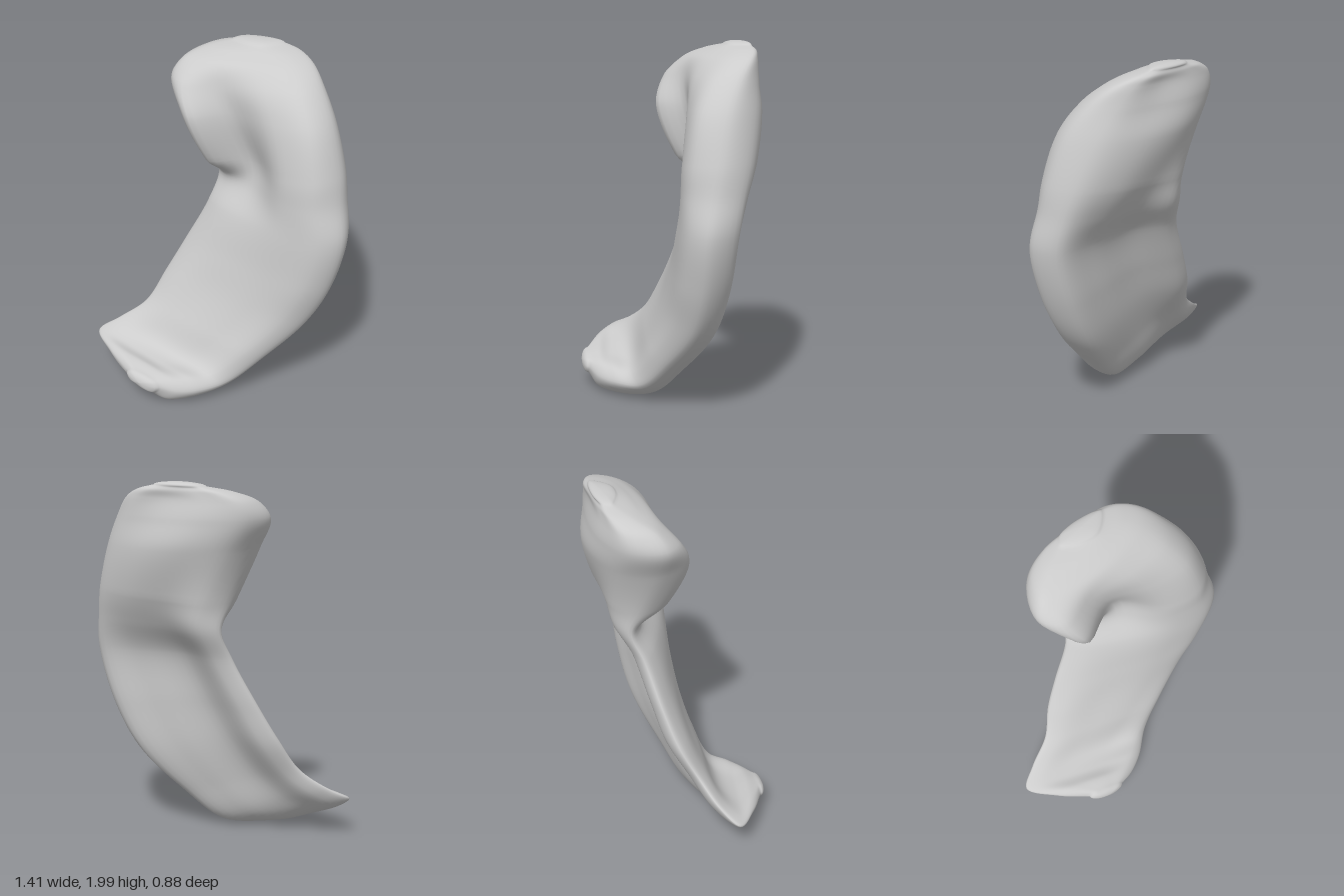
import * as THREE from 'three';

// Rails from tail to head: outer edge x,y,z then inner edge x,y,z
const RAILS = [
  [-0.2, 0.14, 0.42, -0.41, 0.18, 0.385],
  [-0.1, 0.11, 0.385, -0.57, 0.22, 0.28],
  [0.0, 0.1, 0.32, -0.7, 0.245, 0.15],
  [0.12, 0.11, 0.2, -0.6, 0.31, 0.07],
  [0.3, 0.27, 0.1, -0.46, 0.42, 0.0],
  [0.51, 0.5, 0.01, -0.37, 0.6, -0.09],
  [0.64, 0.75, -0.01, -0.27, 0.8, -0.15],
  [0.71, 1.05, -0.01, -0.15, 1.05, -0.21],
  [0.68, 1.25, -0.05, -0.11, 1.22, -0.27],
  [0.66, 1.41, -0.09, -0.15, 1.36, -0.22],
  [0.59, 1.65, -0.15, -0.26, 1.63, -0.15],
  [0.5, 1.81, -0.23, -0.335, 1.8, -0.14],
  [0.41, 1.91, -0.31, -0.29, 1.89, -0.18],
  [0.32, 1.955, -0.36, -0.19, 1.945, -0.27],
  [0.22, 1.98, -0.38, -0.06, 1.975, -0.34],
];
// Heights off the chord at each station: front four, then back four (outer to inner)
const STATIONS = [0.1, 0.35, 0.65, 0.9];
const PROFILES = [
  [0.03, 0.04, 0.04, 0.03, -0.04, -0.05, -0.04, -0.03],
  [0.05, 0.06, 0.05, 0.03, -0.08, -0.09, -0.07, -0.04],
  [0.06, 0.05, 0.04, 0.03, -0.1, -0.12, -0.08, -0.04],
  [0.06, 0.05, 0.04, 0.03, -0.12, -0.11, -0.05, -0.04],
  [0.08, 0.09, 0.07, 0.04, -0.12, -0.09, -0.03, -0.04],
  [0.1, 0.13, 0.1, 0.06, -0.13, -0.08, -0.01, -0.05],
  [0.11, 0.14, 0.11, 0.06, -0.14, -0.09, -0.01, -0.05],
  [0.11, 0.15, 0.11, 0.06, -0.15, -0.11, -0.03, -0.06],
  [0.14, 0.175, 0.07, 0.05, -0.15, -0.16, -0.1, -0.09],
  [0.15, 0.17, 0.03, 0.15, -0.16, -0.22, -0.19, -0.14],
  [0.14, 0.14, 0.06, 0.18, -0.17, -0.27, -0.28, -0.19],
  [0.12, 0.13, 0.08, 0.11, -0.14, -0.22, -0.25, -0.18],
  [0.09, 0.12, 0.1, 0.06, -0.09, -0.14, -0.18, -0.15],
  [0.07, 0.1, 0.09, 0.05, -0.05, -0.08, -0.1, -0.09],
  [0.04, 0.08, 0.07, 0.03, -0.02, -0.04, -0.05, -0.04],
];
const AROUND = 56, ALONG = 112, CAP = 6;

const rail = (k) => new THREE.CatmullRomCurve3(RAILS.map((r) => new THREE.Vector3(r[k], r[k + 1], r[k + 2])));
const outer = rail(0), inner = rail(3);
const heights = PROFILES[0].map((_, k) => new THREE.SplineCurve(PROFILES.map((p, i) => new THREE.Vector2(i, p[k]))));
const middle = (u) => outer.getPoint(u).lerp(inner.getPoint(u), 0.5);

// One closed cross-section of the curled body
function section(u) {
  const O = outer.getPoint(u), I = inner.getPoint(u);
  const tangent = middle(Math.min(u + 0.06, 1)).sub(middle(Math.max(u - 0.06, 0))).normalize();
  const front = tangent.clone().cross(I.clone().sub(O)).normalize();
  // sections lie level through the head and tilt with the tail
  front.y *= 1 - THREE.MathUtils.smoothstep(middle(u).y, 0.6, 1.2);
  front.normalize();
  const at = (k, side) => O.clone().lerp(I, STATIONS[k]).addScaledVector(front, heights[side + k].getPoint(u).y);
  const points = [O, ...[0, 1, 2, 3].map((k) => at(k, 0)), I, ...[3, 2, 1, 0].map((k) => at(k, 4))];
  return new THREE.CatmullRomCurve3(points, true, 'centripetal').getPoints(AROUND).slice(0, AROUND);
}

// Shrinking rings that round off an end
function capRings(loop, offset) {
  const c = loop.reduce((s, p) => s.add(p), new THREE.Vector3()).divideScalar(loop.length);
  const rings = [];
  for (let k = 1; k <= CAP; k++) {
    const a = (k / CAP) * Math.PI * 0.49;
    rings.push(loop.map((p) => c.clone().lerp(p, Math.cos(a)).addScaledVector(offset, Math.sin(a))));
  }
  return rings;
}

export function createModel() {
  const loops = Array.from({ length: ALONG + 1 }, (_, i) => section(i / ALONG));
  const rings = [
    ...capRings(loops[0], new THREE.Vector3(-0.01, 0, 0.035)).reverse(),
    ...loops,
    ...capRings(loops[ALONG], new THREE.Vector3(0, 0.02, -0.005)),
  ];

  // Skin the rings
  const positions = rings.flat().flatMap((p) => [p.x, p.y, p.z]);
  const index = [];
  const last = (rings.length - 1) * AROUND;
  for (let j = 0; j < AROUND; j++) {
    const n = (j + 1) % AROUND;
    for (let i = 0; i < rings.length - 1; i++) {
      const a = i * AROUND + j, b = i * AROUND + n, c = b + AROUND, d = a + AROUND;
      index.push(a, d, b, b, d, c);
    }
    if (j > 0 && n > 0) index.push(0, j, n, last, last + n, last + j);
  }
  const geometry = new THREE.BufferGeometry();
  geometry.setAttribute('position', new THREE.Float32BufferAttribute(positions, 3));
  geometry.setIndex(index);
  geometry.computeVertexNormals();

  const body = new THREE.Mesh(geometry, new THREE.MeshStandardMaterial({ color: 0xcccccc }));
  body.name = 'curledBody';
  const group = new THREE.Group();
  group.name = 'curvedOrgan';
  group.add(body);
  return group;
}
